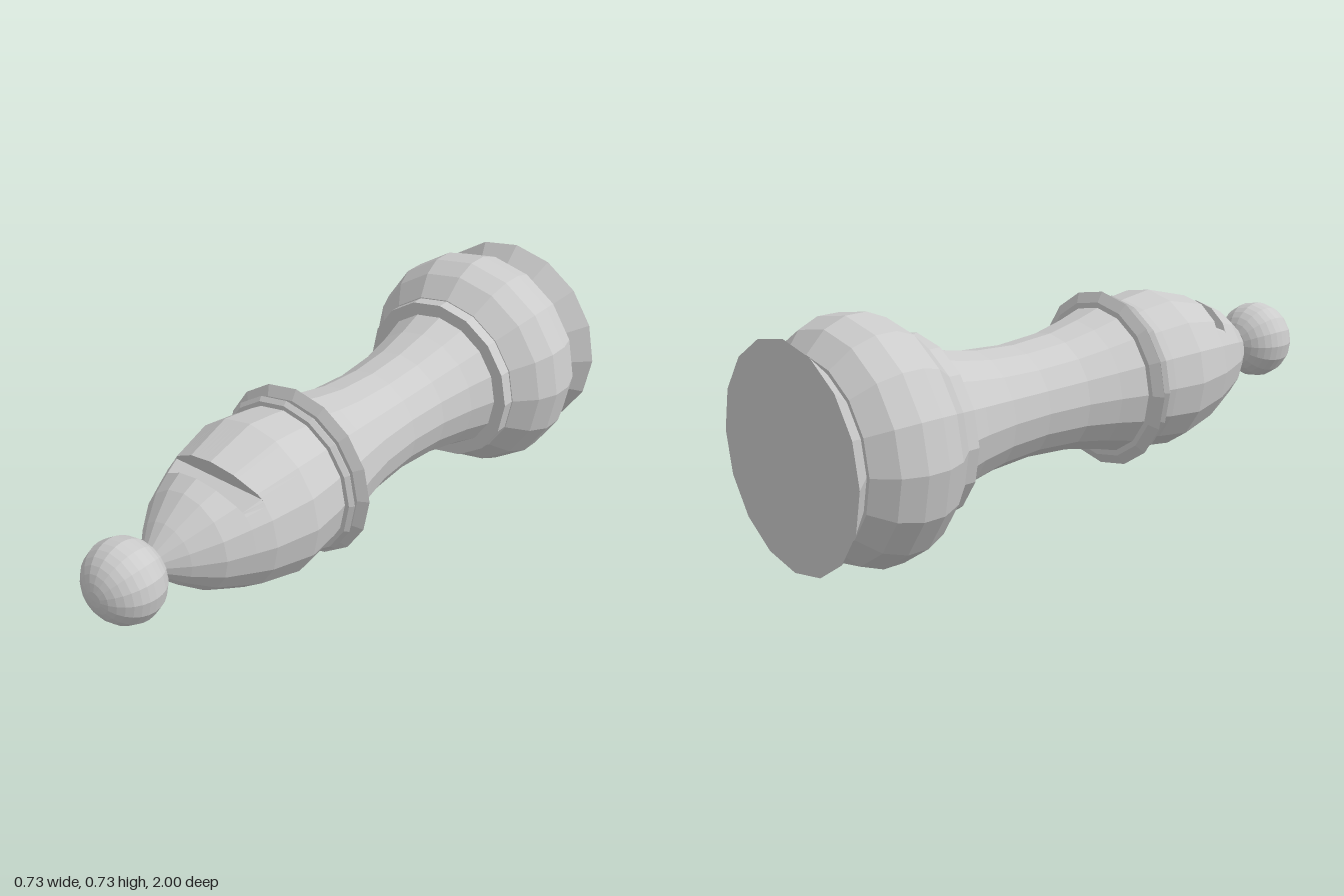
import * as THREE from 'three';

const SIDES = 16;
const AXIS_Y = 0.365;
const material = new THREE.MeshStandardMaterial({ color: 0xcccccc, flatShading: true });

function addMesh(group, name, geometry) {
  const mesh = new THREE.Mesh(geometry, material);
  mesh.name = name;
  group.add(mesh);
}

// Turned part lying along z; profile is [z, radius] pairs from back to front
function turned(profile) {
  const points = profile.map(([z, r]) => new THREE.Vector2(r, z));
  return new THREE.LatheGeometry(points, SIDES).rotateX(Math.PI / 2);
}

// Head profile and the slot cut in its upper side
const HEAD = [[0.17, 0.225], [0.25, 0.243], [0.36, 0.257], [0.505, 0.222], [0.64, 0.16], [0.72, 0.1], [0.79, 0.035]];
const SLOT_BACK = { z: 0.5, floor: 0.14 };
const SLOT_FRONT = { z: 0.56, floor: 0.115 };
const SLOT_LEAN = 0.4;

function headRadius(z) {
  let i = 0;
  while (i < HEAD.length - 2 && z > HEAD[i + 1][0]) i++;
  const [z0, r0] = HEAD[i], [z1, r1] = HEAD[i + 1];
  return r0 + (r1 - r0) * (z - z0) / (z1 - z0);
}

// One cross-section: a 16-gon, finely divided so the slot ends are crisp
const STEPS = SIDES * 6;
function headLoop(z0, floor = Infinity, cut = false) {
  const loop = [];
  const sector = 2 * Math.PI / SIDES;
  for (let i = 0; i < STEPS; i++) {
    const t = 2 * Math.PI * i / STEPS;
    const k = Math.cos(sector / 2) / Math.cos((t % sector) - sector / 2);
    let z = z0, r = headRadius(z0) * k;
    for (let n = 0; n < 12; n++) {
      z = z0 + SLOT_LEAN * Math.max(0, r * Math.sin(t) - floor);
      r = headRadius(z) * k;
    }
    const p = new THREE.Vector3(r * Math.cos(t), r * Math.sin(t), z);
    if (cut && p.y > floor) { p.y = floor; p.z = z0; }
    loop.push(p);
  }
  return loop;
}

function headGeometry() {
  const plain = ([z]) => headLoop(z);
  const loops = [
    ...HEAD.slice(0, 3).map(plain),
    headLoop(SLOT_BACK.z, SLOT_BACK.floor),
    headLoop(SLOT_BACK.z, SLOT_BACK.floor, true),
    headLoop(SLOT_FRONT.z, SLOT_FRONT.floor, true),
    headLoop(SLOT_FRONT.z, SLOT_FRONT.floor),
    ...HEAD.slice(4).map(plain),
  ];
  const positions = [];
  const triangle = (...corners) => corners.forEach((p) => positions.push(p.x, p.y, p.z));
  for (let j = 0; j < loops.length - 1; j++) {
    for (let i = 0; i < STEPS; i++) {
      const n = (i + 1) % STEPS;
      const a = loops[j][i], b = loops[j][n], c = loops[j + 1][n], d = loops[j + 1][i];
      if (!b.equals(c)) triangle(a, b, c);
      if (!a.equals(d)) triangle(a, c, d);
    }
  }
  const geometry = new THREE.BufferGeometry();
  geometry.setAttribute('position', new THREE.Float32BufferAttribute(positions, 3));
  geometry.computeVertexNormals();
  return geometry;
}

export function createModel() {
  const model = new THREE.Group();
  model.name = 'chessBishop';
  model.position.y = AXIS_Y;
  const root = new THREE.Group();
  root.add(model);

  // Flared foot, bulb and collar
  addMesh(model, 'foot', turned([[-1, 0], [-1, 0.335], [-0.93, 0.265]]));
  addMesh(model, 'bulb', turned([
    [-0.93, 0.255], [-0.93, 0.278], [-0.87, 0.338], [-0.8, 0.365],
    [-0.73, 0.365], [-0.665, 0.338], [-0.6, 0.278], [-0.6, 0.25],
  ]));
  addMesh(model, 'collar', turned([[-0.6, 0.2], [-0.6, 0.275], [-0.56, 0.275], [-0.56, 0.2]]));

  // Waisted shaft
  addMesh(model, 'shaft', turned([
    [-0.57, 0.235], [-0.47, 0.207], [-0.35, 0.184], [-0.21, 0.175],
    [-0.06, 0.185], [0.05, 0.208], [0.15, 0.236],
  ]));

  // Two neck rings
  addMesh(model, 'largeNeckRing', turned([[0.138, 0.2], [0.138, 0.25], [0.157, 0.282], [0.176, 0.25], [0.176, 0.2]]));
  addMesh(model, 'smallNeckRing', turned([[0.188, 0.2], [0.188, 0.25], [0.201, 0.262], [0.214, 0.25], [0.214, 0.2]]));

  // Slotted head and ball finial
  addMesh(model, 'head', headGeometry());
  const ball = new THREE.SphereGeometry(0.128, SIDES, 16).rotateX(Math.PI / 2);
  ball.scale(1, 1, 0.9).translate(0, 0, 0.885);
  addMesh(model, 'ballFinial', ball);

  return root;
}
